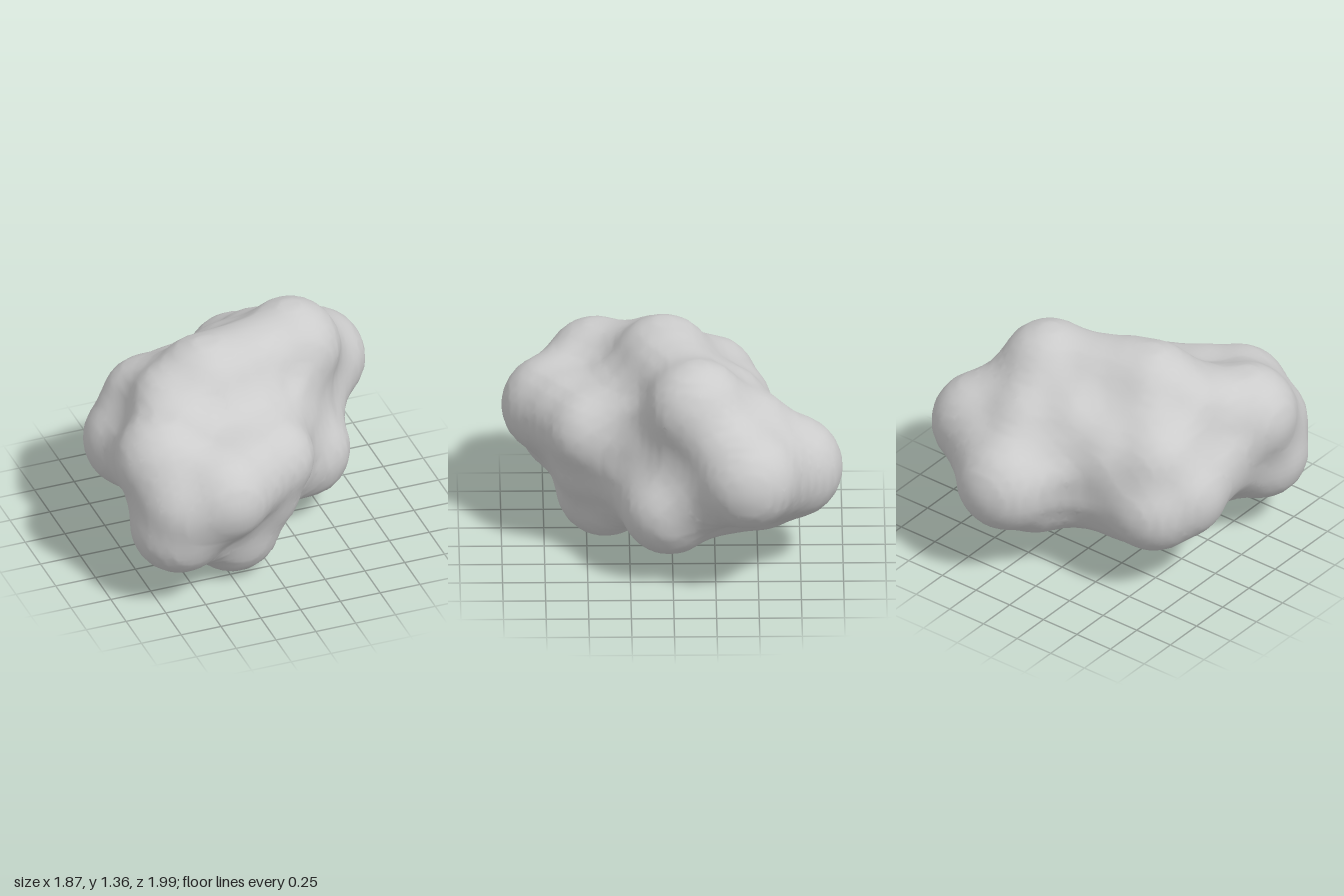
import * as THREE from 'three';

// Lobes of the lump: centre x, y, z and radius
const LOBES = [
  [0.25, 0.63, -0.69, 0.31],   // back tip
  [0.64, 0.74, -0.44, 0.3],    // side lobe
  [0.45, 0.69, -0.52, 0.31],
  [0.28, 0.82, -0.42, 0.31],   // back slope
  [0.38, 0.44, 0.02, 0.29],    // low front lobe
  [0.37, 1.06, -0.14, 0.3],    // crown, one end
  [0.06, 1.05, -0.04, 0.28],
  [-0.24, 1.06, 0.05, 0.3],    // crown, other end
  [-0.11, 1.06, 0.02, 0.29],
  [-0.45, 1.0, 0.09, 0.26],    // shoulder
  [0.05, 0.88, -0.28, 0.3],    // rear flank
  [-0.26, 0.78, -0.29, 0.3],
  [-0.48, 0.82, -0.22, 0.29],
  [-0.52, 0.58, -0.29, 0.3],
  [-0.6, 0.63, -0.17, 0.3],
  [-0.56, 0.66, 0.15, 0.28],
  [-0.64, 0.86, 0.44, 0.3],    // front corner
  [-0.61, 0.5, 0.6, 0.29],
  [-0.57, 0.67, 0.63, 0.3],
  [-0.38, 0.74, 0.7, 0.3],     // front
  [-0.2, 0.75, 0.59, 0.28],
  [0, 0.75, 0.48, 0.27],
  [-0.07, 0.53, 0.44, 0.27],   // web above the foot
  [-0.2, 0.285, 0.39, 0.29],   // foot
  [0.2, 0.5, -0.28, 0.31],     // underside
  [0.2, 0.53, -0.5, 0.31],
  [-0.12, 0.52, -0.24, 0.3],
  [-0.32, 0.53, -0.24, 0.3],
  [-0.28, 0.7, 0.24, 0.4],     // core
  [0.1, 0.72, 0.02, 0.38],
];
// Radius of the fillets between lobes
const FILLET = 0.32;

const lobeDistance = (x, y, z) =>
  Math.min(...LOBES.map(([a, b, c, r]) => Math.hypot(x - a, y - b, z - c) - r));

// Wrap a field (negative inside) in a quad mesh: one vertex per crossed grid cell
function wrapField(field, min, size, step) {
  const n = size.map((s) => Math.ceil(s / step));
  const stride = [1, n[0] + 1, (n[0] + 1) * (n[1] + 1)];
  const value = new Float32Array(stride[2] * (n[2] + 1));
  const at = (i, j, k) => i + j * stride[1] + k * stride[2];
  for (let k = 0; k <= n[2]; k++)
    for (let j = 0; j <= n[1]; j++)
      for (let i = 0; i <= n[0]; i++)
        value[at(i, j, k)] = field(min[0] + i * step, min[1] + j * step, min[2] + k * step);

  const positions = [], index = [], cell = new Map();
  for (let k = 0; k < n[2]; k++)
    for (let j = 0; j < n[1]; j++)
      for (let i = 0; i < n[0]; i++) {
        const p = [0, 0, 0];
        let count = 0;
        for (let c = 0; c < 8; c++)
          for (let a = 0; a < 3; a++) {
            if (c & (1 << a)) continue;
            const o = [c & 1, (c >> 1) & 1, (c >> 2) & 1];
            const id = at(i + o[0], j + o[1], k + o[2]);
            const v0 = value[id], v1 = value[id + stride[a]];
            if (v0 < 0 === v1 < 0) continue;
            o[a] += v0 / (v0 - v1);
            for (let d = 0; d < 3; d++) p[d] += o[d];
            count++;
          }
        if (!count) continue;
        cell.set(at(i, j, k), positions.length / 3);
        [i, j, k].forEach((g, d) => positions.push(min[d] + (g + p[d] / count) * step));
      }

  // A quad around every grid edge that passes through the surface
  for (let k = 1; k < n[2]; k++)
    for (let j = 1; j < n[1]; j++)
      for (let i = 1; i < n[0]; i++)
        for (let a = 0; a < 3; a++) {
          const id = at(i, j, k);
          const inside = value[id] < 0;
          if (inside === value[id + stride[a]] < 0) continue;
          const u = stride[(a + 1) % 3], v = stride[(a + 2) % 3];
          const q = [id, id - u, id - u - v, id - v].map((c) => cell.get(c));
          if (!inside) q.reverse();
          index.push(q[0], q[1], q[2], q[0], q[2], q[3]);
        }

  const geometry = new THREE.BufferGeometry();
  geometry.setAttribute('position', new THREE.Float32BufferAttribute(positions, 3));
  geometry.setIndex(index);
  geometry.computeVertexNormals();
  return geometry;
}

export function createModel() {
  const group = new THREE.Group();
  group.name = 'lumpyBlob';

  // Swell the lobes by the fillet radius, then shrink back: the valleys stay filled
  const swollen = wrapField(
    (x, y, z) => lobeDistance(x, y, z) - FILLET,
    [-1.4, -0.5, -1.5], [2.8, 2.4, 3], 0.05,
  ).attributes.position.array;
  const filleted = (x, y, z) => {
    const d = lobeDistance(x, y, z);
    if (d < -0.1 || d > 0.25) return d;
    let nearest = Infinity;
    for (let i = 0; i < swollen.length; i += 3) {
      const a = swollen[i] - x, b = swollen[i + 1] - y, c = swollen[i + 2] - z;
      nearest = Math.min(nearest, a * a + b * b + c * c);
    }
    return FILLET - Math.sqrt(nearest);
  };

  const geometry = wrapField(filleted, [-1.1, -0.15, -1.15], [2.2, 1.7, 2.3], 0.05);
  const body = new THREE.Mesh(geometry, new THREE.MeshStandardMaterial({ color: 0xcccccc }));
  body.name = 'body';
  group.add(body);
  return group;
}
